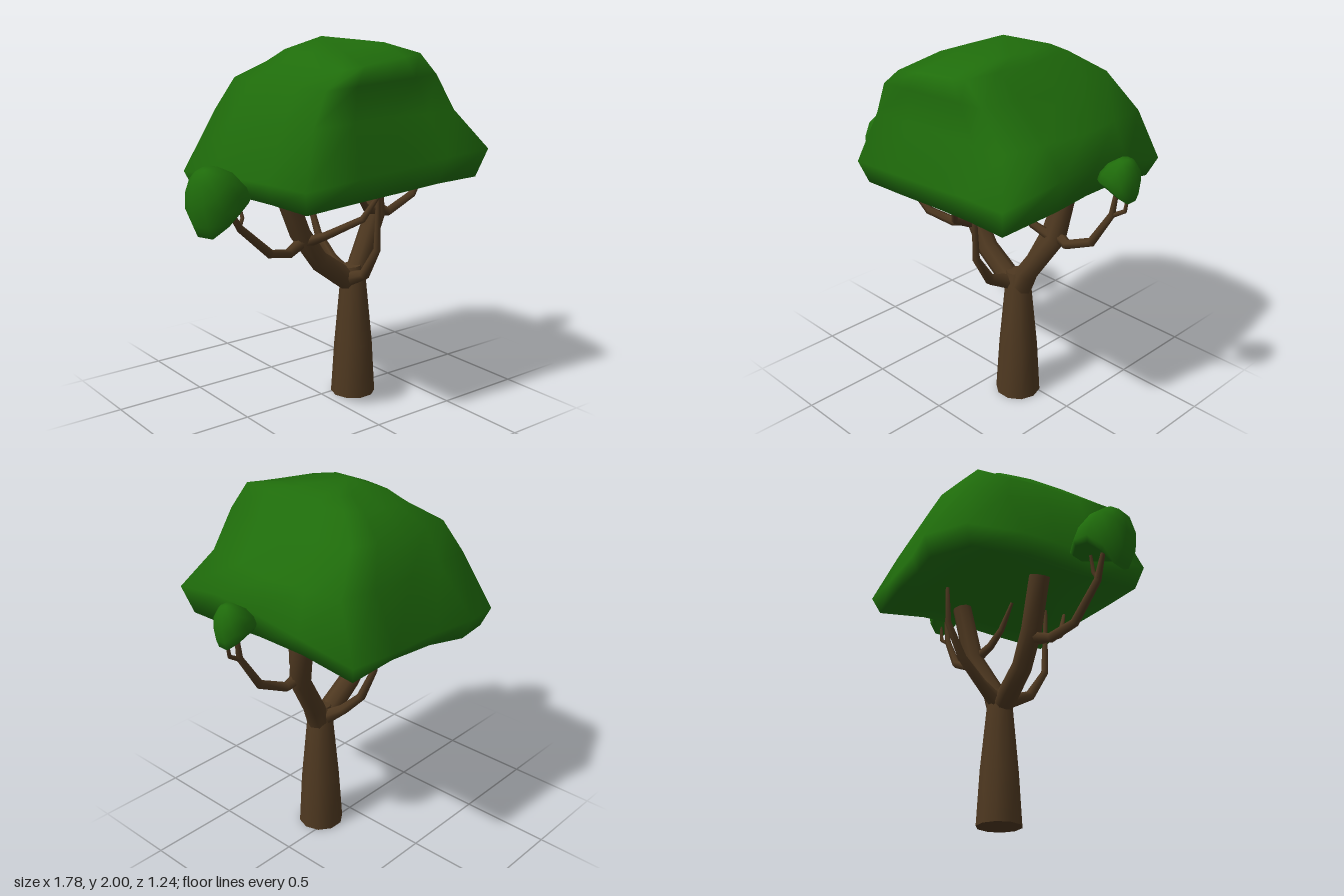
import * as THREE from 'three';
import { mergeVertices } from 'three/addons/utils/BufferGeometryUtils.js';

const bark = new THREE.MeshStandardMaterial({ color: 0x4e3820 });
bark.name = 'bark brown';
const leaf = new THREE.MeshStandardMaterial({ color: 0x1f6c0b });
leaf.name = 'leaf green';

const V = (x, y, z) => new THREE.Vector3(x, y, z);

// Skin over rings of points (bottom to top, counter-clockwise from above), closed at both ends
function loft(rings, bottom, top, smooth) {
  const n = rings[0].length;
  const last = rings.length - 1;
  const points = [...rings.flat(), ...rings[0], bottom, ...rings[last], top];
  const index = [];
  for (let r = 0; r < last; r++) {
    for (let i = 0; i < n; i++) {
      const a = r * n + i, b = r * n + (i + 1) % n;
      index.push(a, b, b + n, a, b + n, a + n);
    }
  }
  const low = rings.length * n, high = low + n + 1;
  for (let i = 0; i < n; i++) {
    const j = (i + 1) % n;
    index.push(low + n, low + j, low + i, high + n, high + i, high + j);
  }
  let geo = new THREE.BufferGeometry().setFromPoints(points);
  geo.setIndex(index);
  if (smooth) geo = mergeVertices(geo);
  geo.computeVertexNormals();
  return geo;
}

// Tapered limb through stations [x, y, z, radius]
function limb(name, stations, sides = 8) {
  const centres = stations.map(([x, y, z]) => V(x, y, z));
  const end = centres.length - 1;
  const up = V(0, 1, 0);
  const rings = centres.map((c, k) => {
    const dir = V(0, 0, 0);
    if (k > 0) dir.add(c.clone().sub(centres[k - 1]).normalize());
    if (k < end) dir.add(centres[k + 1].clone().sub(c).normalize());
    const turn = new THREE.Quaternion().setFromUnitVectors(up, dir.normalize());
    return Array.from({ length: sides }, (_, i) => {
      const a = (i / sides) * Math.PI * 2, r = stations[k][3];
      return V(Math.cos(a) * r, 0, -Math.sin(a) * r).applyQuaternion(turn).add(c);
    });
  });
  const mesh = new THREE.Mesh(loft(rings, centres[0], centres[end], false), bark);
  mesh.name = name;
  return mesh;
}

// Outer rim of the canopy: x, y, z and the height of the lower lip
const RIM = [
  [0.62, 1.43, 0.62, 1.28], [0.67, 1.5, 0.28, 1.32], [0.66, 1.48, 0.04, 1.33], [0.63, 1.42, -0.25, 1.31],
  [0.59, 1.35, -0.56, 1.25], [0.3, 1.33, -0.57, 1.27], [0, 1.33, -0.58, 1.25], [-0.24, 1.33, -0.62, 1.22],
  [-0.54, 1.27, -0.53, 1.17], [-0.56, 1.3, -0.2, 1.2], [-0.54, 1.31, 0, 1.21], [-0.52, 1.32, 0.25, 1.21],
  [-0.52, 1.33, 0.56, 1.21], [-0.2, 1.36, 0.58, 1.235], [0.1, 1.38, 0.58, 1.25], [0.35, 1.41, 0.6, 1.27],
];

// Squarish ring between bounds; back corners are pulled in by the corner factor, the front left one sideways only
function squareRing(x0, x1, z0, z1, y, corner, tilt) {
  return RIM.map((_, i) => {
    const side = Math.floor(i / 4), t = 1 - (i % 4) * 0.5;
    const [u, v] = [[1, t], [t, -1], [-1, -t], [-t, 1]][side];
    const near = Math.min(Math.abs(u), Math.abs(v));
    const back = v > 0 ? 1 : 1 - (1 - corner) * near;
    const pull = v > 0 && u > 0 ? 1 - 0.16 * near : back;
    return V(
      (x0 + x1) / 2 + (u * pull * (x1 - x0)) / 2,
      y + tilt * u,
      (z0 + z1) / 2 + (v * back * (z1 - z0)) / 2
    );
  });
}

function canopy() {
  const rings = [
    RIM.map(([x, , z]) => V(x * 0.5, 1.355, z * 0.5)),
    RIM.map(([x, , z, low]) => V(x * 0.76, low * 0.6 + 0.535, z * 0.76)),
    RIM.map(([x, , z, low]) => V(x * 0.93, low, z * 0.93)),
    RIM.map(([x, y, z]) => V(x, y, z)),
    squareRing(-0.42, 0.57, -0.47, 0.49, 1.62, 0.93, 0.01),
    squareRing(-0.35, 0.42, -0.4, 0.49, 1.8, 0.9, 0.02),
    squareRing(-0.24, 0.29, -0.25, 0.485, 1.9, 0.87, 0.03),
    squareRing(-0.18, 0.24, -0.15, 0.26, 1.953, 0.85, 0.02),
  ];
  const mesh = new THREE.Mesh(loft(rings, V(0.05, 1.38, 0), V(0, 2, 0), true), leaf);
  mesh.name = 'canopy';
  return mesh;
}

// Small leaf clump: a dome with a shallow hollow whose two ends droop
function clump(name, position, scale, yaw, roll) {
  const profile = [[0, -0.08], [0.5, -0.17], [0.86, -0.38], [1, -0.2], [1, 0.2], [0.8, 0.64], [0.42, 0.92], [0, 1]];
  const dome = new THREE.LatheGeometry(profile.map(([r, y]) => new THREE.Vector2(r, y)), 10);
  const p = dome.attributes.position;
  for (let i = 0; i < p.count; i++) p.setY(i, p.getY(i) - 0.5 * p.getX(i) ** 2);
  dome.deleteAttribute('uv');
  dome.deleteAttribute('normal');
  const geo = mergeVertices(dome);
  geo.computeVertexNormals();
  const mesh = new THREE.Mesh(geo, leaf);
  mesh.name = name;
  mesh.position.set(...position);
  mesh.scale.set(...scale);
  mesh.rotation.set(0, yaw, roll);
  return mesh;
}

export function createModel() {
  const tree = new THREE.Group();
  tree.name = 'tree';
  tree.add(
    // Trunk and the two main forks
    limb('trunk', [[0.18, 0, 0.06, 0.124], [0.18, 0.3, 0.06, 0.106], [0.176, 0.65, 0.06, 0.073], [0.165, 0.75, 0.06, 0.055]], 10),
    limb('rightFork', [[0.17, 0.64, 0.06, 0.055], [0.08, 0.71, 0.06, 0.06], [-0.06, 0.81, 0.06, 0.057],
      [-0.18, 0.98, 0.05, 0.058], [-0.285, 1.25, 0.04, 0.058]]),
    limb('leftFork', [[0.175, 0.62, 0.06, 0.065], [0.23, 0.76, 0.05, 0.06], [0.38, 1.0, 0.0, 0.058], [0.41, 1.33, -0.065, 0.055]]),
    // Thin branches reaching into the canopy
    limb('frontBranch', [[0.14, 0.68, 0.08, 0.045], [0.125, 0.74, 0.22, 0.03], [0.125, 0.9, 0.32, 0.02], [0.12, 1.29, 0.33, 0.01]], 6),
    limb('backBranch', [[0.16, 0.68, 0.03, 0.045], [0.14, 0.76, -0.08, 0.03], [0.13, 0.88, -0.2, 0.024],
      [0.13, 1.07, -0.29, 0.017], [0.13, 1.28, -0.3, 0.01]], 6),
    limb('rightInnerBranch', [[-0.16, 0.93, 0.07, 0.03], [-0.1, 0.98, 0.17, 0.022], [0.0, 1.09, 0.35, 0.018], [0.08, 1.27, 0.43, 0.009]], 6),
    limb('leftInnerBranch', [[0.41, 1.0, 0.01, 0.03], [0.27, 1.06, 0.05, 0.022], [0.2, 1.14, 0.08, 0.018], [0.11, 1.28, 0.1, 0.009]], 6),
    // Outer branches carrying the side clumps
    limb('rightOuterBranch', [[-0.14, 0.95, 0.05, 0.035], [-0.29, 0.9, 0.1, 0.027], [-0.44, 0.935, 0.15, 0.024],
      [-0.63, 1.1, 0.17, 0.02], [-0.7, 1.22, 0.16, 0.012]], 6),
    limb('rightTwig', [[-0.64, 1.1, 0.17, 0.014], [-0.61, 1.15, 0.16, 0.011], [-0.62, 1.24, 0.14, 0.008]], 6),
    limb('leftOuterBranch', [[0.39, 1.03, 0.0, 0.035], [0.47, 1.0, 0.01, 0.027], [0.64, 1.08, 0.02, 0.024],
      [0.76, 1.27, 0.02, 0.018], [0.785, 1.46, 0.01, 0.01]], 6),
    limb('leftTwig', [[0.75, 1.26, 0.02, 0.013], [0.83, 1.31, 0.01, 0.011], [0.845, 1.42, 0.01, 0.008]], 6),
    // Foliage
    canopy(),
    clump('rightLeafClump', [-0.75, 1.265, 0.15], [0.172, 0.172, 0.148], 0.35, 0.5),
    clump('leftLeafClump', [0.795, 1.47, 0.01], [0.107, 0.112, 0.092], 0, -0.35)
  );
  return tree;
}
